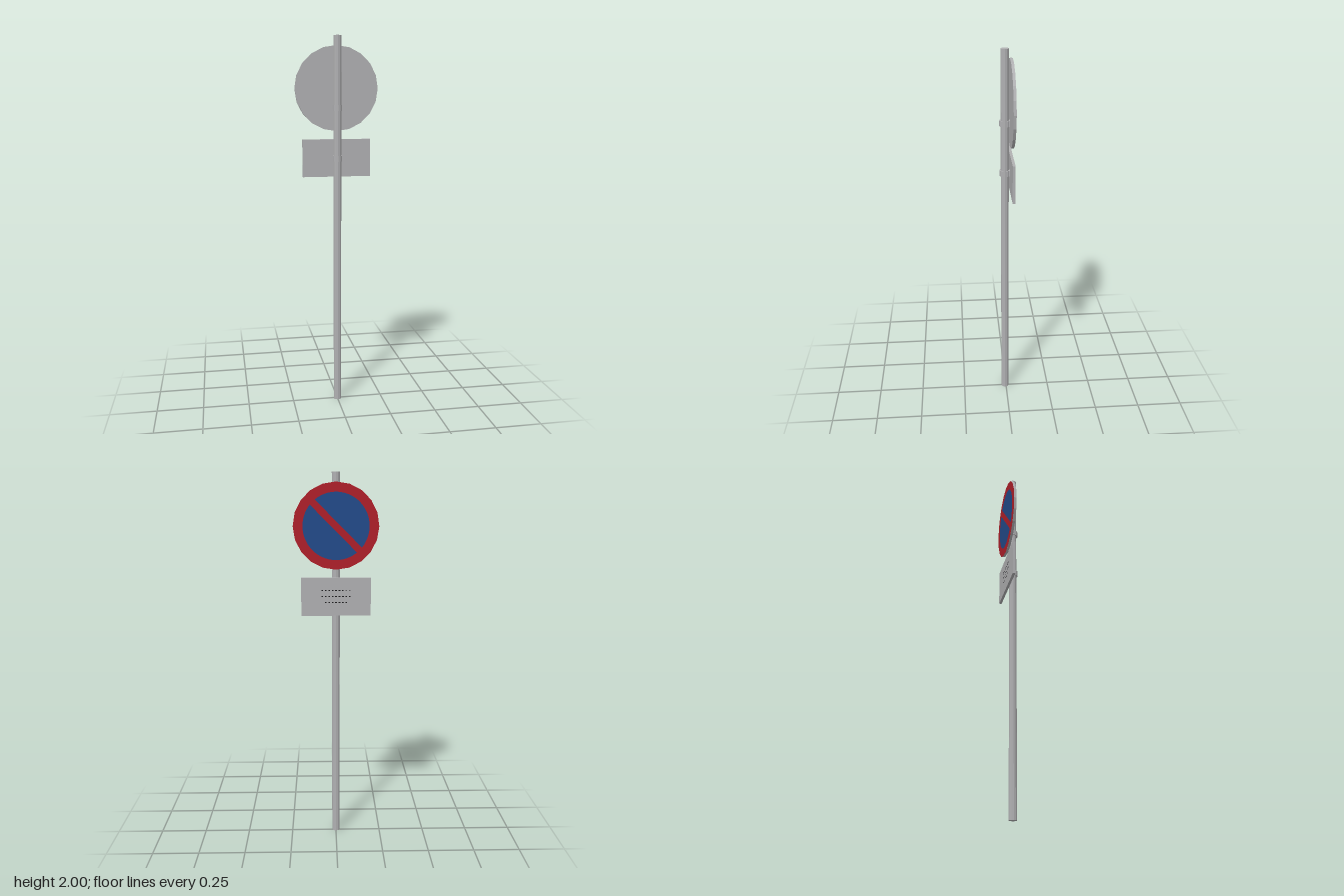
import * as THREE from 'three';

const mat = (name, color, flatShading = false) => {
  const m = new THREE.MeshStandardMaterial({ color, flatShading });
  m.name = name;
  return m;
};

export function createModel() {
  const steel = mat('galvanised grey', 0xb0b0b2, true);
  const red = mat('sign red', 0xb0202a);
  const blue = mat('sign blue', 0x234b8a);
  const dark = mat('marking black', 0x1c1c1e);

  const group = new THREE.Group();
  const add = (name, geo, material, x, y, z, parent = group) => {
    const mesh = new THREE.Mesh(geo, material);
    mesh.name = name;
    mesh.position.set(x, y, z);
    parent.add(mesh);
    return mesh;
  };

  const poleZ = 0.006, plateZ = -0.027, faceZ = -0.0342;
  const discY = 1.73, discR = 0.222, blueR = 0.172, barHalf = 0.018;

  // Pole
  add('pole', new THREE.CylinderGeometry(0.021, 0.021, 2, 12), steel, 0, 1, poleZ);

  // Round sign blank and rectangular plate, facing -z
  add('roundSign', new THREE.CylinderGeometry(discR, discR, 0.0142, 20).rotateX(Math.PI / 2),
    steel, 0, discY, plateZ);
  add('lowerPlate', new THREE.BoxGeometry(0.366, 0.2, 0.0142), steel, 0, 1.365, plateZ);

  // Painted face: red disc with two blue segments leaving a diagonal bar
  const face = new THREE.Group();
  face.name = 'signFace';
  face.position.set(0, discY, faceZ);
  face.rotation.y = Math.PI;
  group.add(face);
  add('redFace', new THREE.CircleGeometry(discR, 20, Math.PI / 2), red, 0, 0, 0, face);
  const a = Math.asin(barHalf / blueR);
  const segment = new THREE.Shape();
  segment.absarc(0, 0, blueR, a, Math.PI - a, false);
  for (const turn of [0, Math.PI]) {
    const half = add('blueSegment', new THREE.ShapeGeometry(segment, 16), blue, 0, 0, 0.0008, face);
    half.rotation.z = -Math.PI / 4 + turn;
  }

  // Short dashes in three rows on the lower plate
  const dash = new THREE.BoxGeometry(0.009, 0.004, 0.001);
  [[1.4, 9], [1.368, 9], [1.336, 7]].forEach(([y, n]) => {
    for (let i = 0; i < n; i++) {
      add('dash', dash, dark, (i - (n - 1) / 2) * 0.018, y, faceZ - 0.0003);
    }
  });

  // Clamps holding both signs to the pole
  for (const y of [1.63, 1.365]) {
    const band = add('clampBand', new THREE.CylinderGeometry(0.025, 0.025, 0.03, 12), steel, 0, y, poleZ);
    band.scale.z = 1.12;
    add('clampBlock', new THREE.BoxGeometry(0.03, 0.03, 0.018), steel, 0, y, -0.014);
  }
  return group;
}
